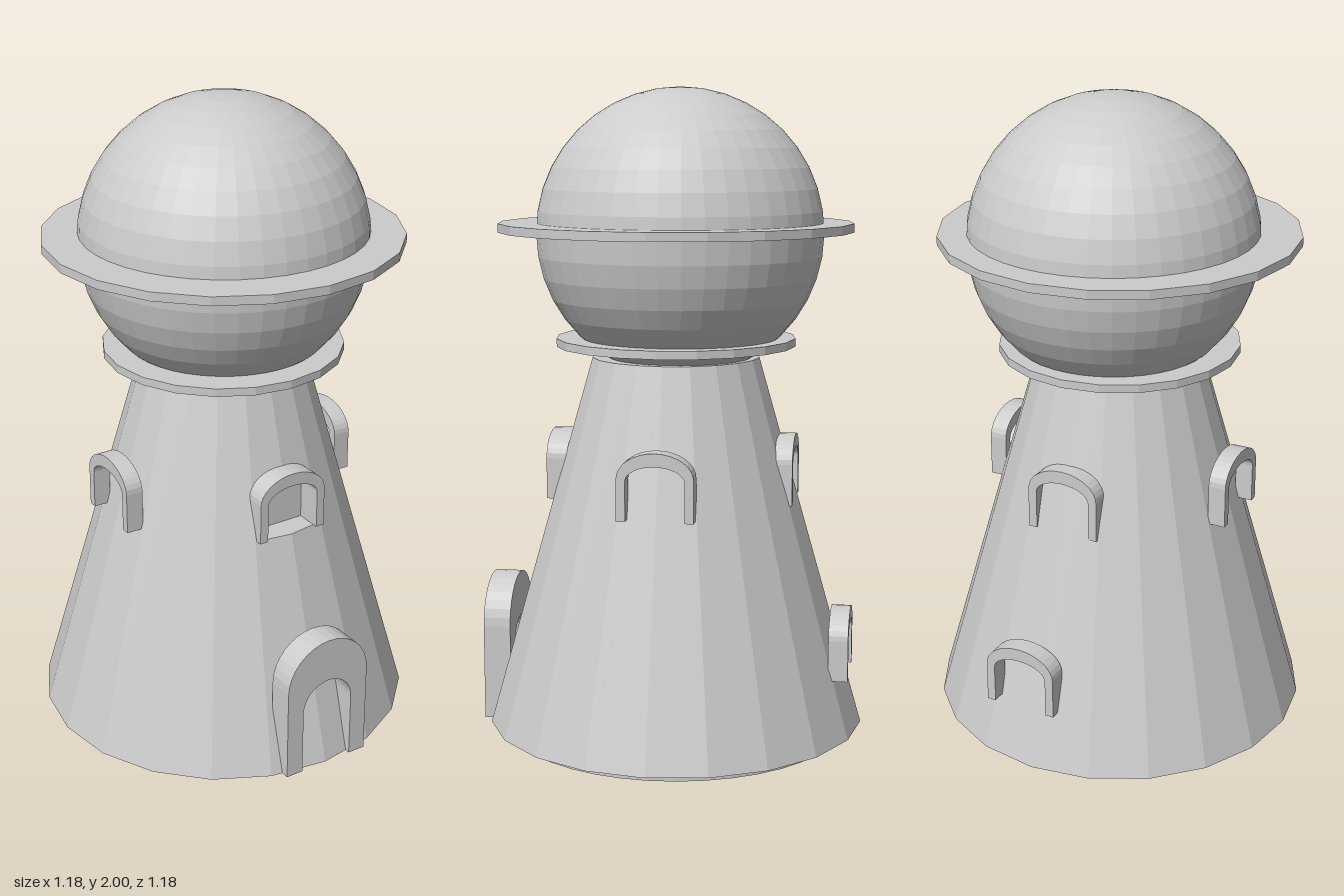
import * as THREE from 'three';

const mat = new THREE.MeshStandardMaterial({ color: 0xcccccc, flatShading: true });
const thin = new THREE.MeshStandardMaterial({ color: 0xcccccc, flatShading: true, side: THREE.DoubleSide });

const SIDES = 20, STEP = (Math.PI * 2) / SIDES;
const Y0 = 0.03, Y1 = 1.18, R0 = 0.588, R1 = 0.26;
const radiusAt = (y) => R0 + ((R1 - R0) * (y - Y0)) / (Y1 - Y0);

// Window opening: half width, sill, spring line and arch rise
const WIN = { w: 0.088, y: 0.74, spring: 0.86, rise: 0.045 };

export function createModel() {
  const group = new THREE.Group();
  const add = (name, geometry, x = 0, y = 0, z = 0, material = mat) => {
    const mesh = new THREE.Mesh(geometry, material);
    mesh.name = name;
    mesh.position.set(x, y, z);
    group.add(mesh);
    return mesh;
  };
  const disc = (name, r, bottom, top, sides = SIDES) =>
    add(name, new THREE.CylinderGeometry(r, r, top - bottom, sides), 0, (top + bottom) / 2, 0);

  // Base and tapered tower; the two front facets are made separately for the window opening
  disc('base', 0.53, 0, Y0 + 0.002, 40);
  add('towerWall', new THREE.CylinderGeometry(R1, R0, Y1 - Y0, SIDES - 2, 1, true, STEP, Math.PI * 2 - 2 * STEP), 0, (Y0 + Y1) / 2, 0);
  for (const side of [-1, 1]) {
    add(side > 0 ? 'frontFacetLeft' : 'frontFacetRight', frontFacet(side));
  }
  add('towerTop', new THREE.CircleGeometry(R1, SIDES).rotateX(-Math.PI / 2), 0, Y1, 0);
  add('towerUnderside', new THREE.CircleGeometry(R0, SIDES).rotateX(Math.PI / 2), 0, Y0, 0);

  // Dome ball with its collar and wide ring
  disc('collar', 0.37, 1.215, 1.24);
  add('ball', new THREE.SphereGeometry(0.44, 40, 20), 0.013, 1.56, -0.015);
  disc('ring', 0.545, 1.565, 1.592);

  // Door surround
  add('doorArch', archFrame(0.145, 0.327, 0.145, 0.088, 0.243, 0.088, 0.03, 0.085), 0, 0, 0.505);

  // Window surrounds: [name, x, y offset, z, turn, depth]
  const windows = [
    ['frontWindowArch', 0, 0, 0.3, 0, 0.088],
    ['leftWindowArch', 0.35, 0, 0, Math.PI / 2, 0.055],
    ['rightWindowArch', -0.36, 0, 0, -Math.PI / 2, 0.055],
    ['backWindowArch', 0, 0, -0.32, Math.PI, 0.055],
    ['lowBackWindowArch', 0.055, -0.53, -0.495, Math.PI, 0.06],
  ];
  for (const [name, x, y, z, turn, depth] of windows) {
    const geometry = archFrame(0.115, 0.867, 0.078, WIN.w, WIN.spring, WIN.rise, WIN.y, depth);
    add(name, geometry, x, y, z).rotation.y = turn;
  }

  // Back and floor of the recess behind the front window
  const recess = new THREE.PlaneGeometry(WIN.w * 2 + 0.02, 0.19);
  add('windowRecessBack', recess, 0, WIN.y + 0.09, 0.305, thin);
  const zFront = radiusAt(WIN.y), zSide = zFront - WIN.w * Math.tan(STEP / 2);
  const floor = new THREE.Shape([
    new THREE.Vector2(-WIN.w, -0.3),
    new THREE.Vector2(WIN.w, -0.3),
    new THREE.Vector2(WIN.w, -zSide),
    new THREE.Vector2(0, -zFront),
    new THREE.Vector2(-WIN.w, -zSide),
  ]);
  add('windowRecessFloor', new THREE.ShapeGeometry(floor).rotateX(-Math.PI / 2), 0, WIN.y, 0, thin);
  return group;
}

// One tower facet beside the front edge, with half of the window notched out
function frontFacet(side) {
  const s = new THREE.Shape();
  s.moveTo(0, Y0);
  s.lineTo(side * R0 * Math.sin(STEP), Y0);
  s.lineTo(side * R1 * Math.sin(STEP), Y1);
  s.lineTo(0, Y1);
  s.lineTo(0, WIN.spring + WIN.rise);
  s.absellipse(0, WIN.spring, WIN.w, WIN.rise, Math.PI / 2, side > 0 ? 0 : Math.PI, side > 0);
  s.lineTo(side * WIN.w, WIN.y);
  s.lineTo(0, WIN.y);
  const geometry = new THREE.ShapeGeometry(s, 8);
  // Lay the flat outline onto the sloping facet plane
  const p = geometry.attributes.position;
  for (let i = 0; i < p.count; i++) {
    p.setZ(i, radiusAt(p.getY(i)) - Math.abs(p.getX(i)) * Math.tan(STEP / 2));
  }
  geometry.computeVertexNormals();
  return geometry;
}

// Open-bottomed arch surround: outer and inner half width, spring line, rise
function archFrame(w, spring, rise, iw, iSpring, iRise, bottom, depth) {
  const s = new THREE.Shape();
  s.moveTo(iw, bottom);
  s.lineTo(w, bottom);
  s.lineTo(w, spring);
  s.absellipse(0, spring, w, rise, 0, Math.PI, false);
  s.lineTo(-w, bottom);
  s.lineTo(-iw, bottom);
  s.lineTo(-iw, iSpring);
  s.absellipse(0, iSpring, iw, iRise, Math.PI, 0, true);
  s.lineTo(iw, bottom);
  return new THREE.ExtrudeGeometry(s, { depth, bevelEnabled: false, curveSegments: 8 });
}
